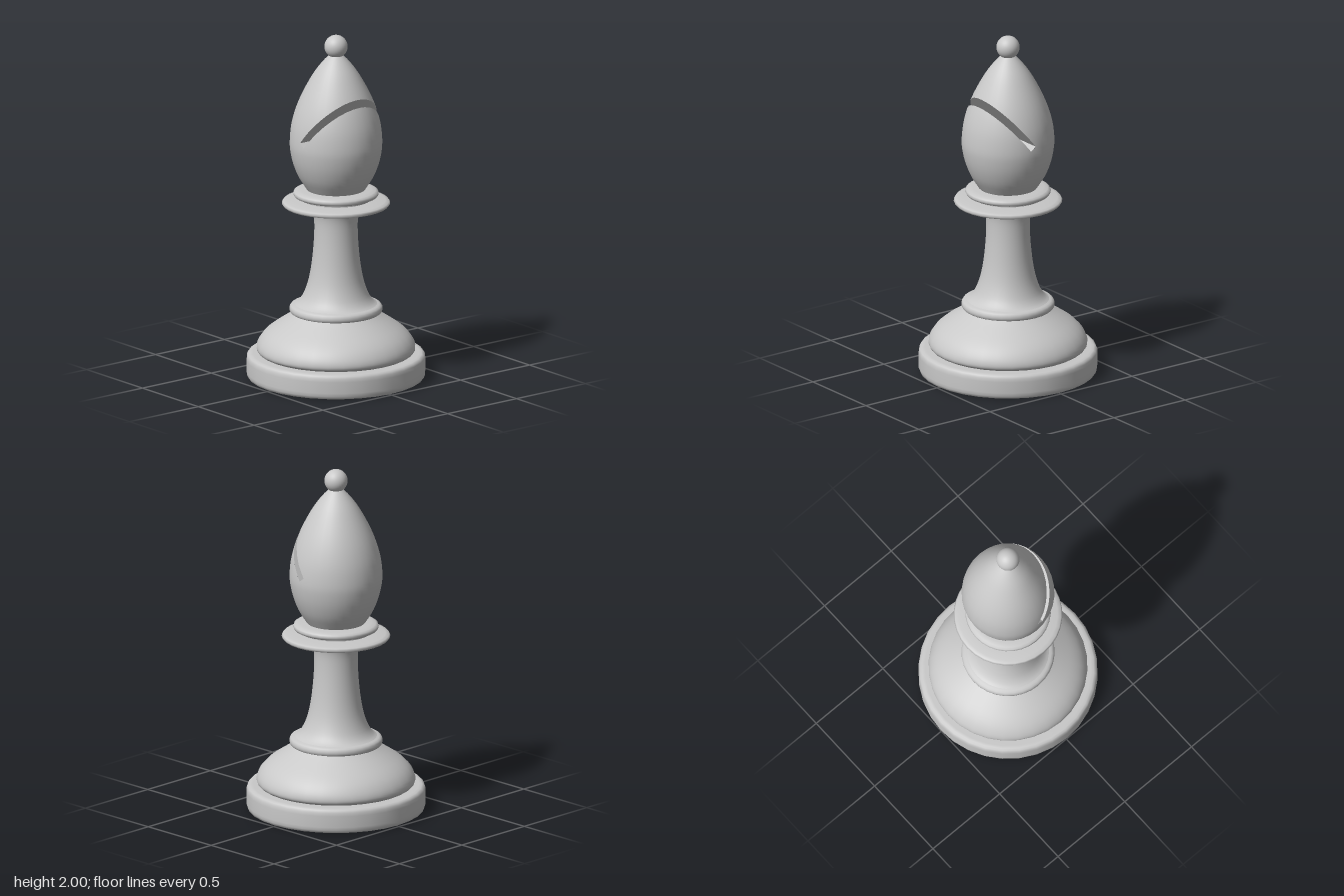
import * as THREE from 'three';

const SEGMENTS = 32;
const ivory = new THREE.MeshStandardMaterial({ color: 0xc8c8c8 });
ivory.name = 'plain grey';

const vectors = (pts) => pts.map(([x, y]) => new THREE.Vector2(x, y));
const smooth = (pts, n) => new THREE.SplineCurve(vectors(pts)).getPoints(n);

// Diagonal slot in the head: floor centre, direction outwards, and width
const SLOT = { x: 0.015, y: 1.4, dx: 0.611, dy: 0.792, half: 0.02 };
const along = (x, y) => (x - SLOT.x) * SLOT.dx + (y - SLOT.y) * SLOT.dy;
const across = (x, y) => -(x - SLOT.x) * SLOT.dy + (y - SLOT.y) * SLOT.dx;

// Keeps the part of a polygon where f >= 0; corners carry position and normal
function clip(poly, f) {
  const out = [];
  poly.forEach((a, i) => {
    const b = poly[(i + 1) % poly.length];
    const fa = f(a[0], a[1]), fb = f(b[0], b[1]);
    if (fa >= 0) out.push(a);
    if ((fa >= 0) !== (fb >= 0)) {
      const t = fa / (fa - fb);
      out.push(a.map((v, k) => v + (b[k] - v) * t));
    }
  });
  return out;
}

// Removes the slot from the turned head
function cutSlot(lathe) {
  const geo = lathe.toNonIndexed();
  const p = geo.attributes.position, n = geo.attributes.normal;
  const pos = [], nor = [];
  const emit = (poly) => {
    for (let i = 1; i + 1 < poly.length; i++) {
      for (const v of [poly[0], poly[i], poly[i + 1]]) {
        pos.push(v[0], v[1], v[2]);
        nor.push(v[3], v[4], v[5]);
      }
    }
  };
  for (let i = 0; i < p.count; i += 3) {
    const tri = [0, 1, 2].map((k) => [
      p.getX(i + k), p.getY(i + k), p.getZ(i + k),
      n.getX(i + k), n.getY(i + k), n.getZ(i + k)]);
    emit(clip(tri, (x, y) => -along(x, y)));
    const outer = clip(tri, along);
    emit(clip(outer, (x, y) => across(x, y) - SLOT.half));
    emit(clip(outer, (x, y) => -across(x, y) - SLOT.half));
  }
  const out = new THREE.BufferGeometry();
  out.setAttribute('position', new THREE.Float32BufferAttribute(pos, 3));
  out.setAttribute('normal', new THREE.Float32BufferAttribute(nor, 3));
  return out;
}

// Upper wall, floor and lower wall of the slot as one strip across the head
function slotWalls(profile) {
  const radius = (y) => {
    const i = Math.max(1, profile.findIndex((q) => q.y >= y));
    const a = profile[i - 1], b = profile[i];
    return a.x + (b.x - a.x) * (y - a.y) / (b.y - a.y);
  };
  const side = (k) => {
    const at = (s) => [
      SLOT.x + s * SLOT.dx - k * SLOT.dy,
      SLOT.y + s * SLOT.dy + k * SLOT.dx];
    let lo = 0, hi = 0.45;
    for (let i = 0; i < 30; i++) {
      const mid = (lo + hi) / 2, [x, y] = at(mid);
      if (x < radius(y)) lo = mid; else hi = mid;
    }
    return Array.from({ length: 25 }, (_, i) => at(lo * (1 - (1 - i / 24) ** 2)));
  };
  const path = [...side(SLOT.half).reverse(), ...side(-SLOT.half)];
  const depth = ([x, y]) => Math.sqrt(Math.max(0, (radius(y) * 0.998) ** 2 - x * x));
  const pos = [];
  for (let i = 0; i + 1 < path.length; i++) {
    const a = path[i], b = path[i + 1], za = depth(a), zb = depth(b);
    pos.push(...a, za, ...b, zb, ...b, -zb, ...a, za, ...b, -zb, ...a, -za);
  }
  const geo = new THREE.BufferGeometry();
  geo.setAttribute('position', new THREE.Float32BufferAttribute(pos, 3));
  geo.computeVertexNormals();
  return geo;
}

export function createModel() {
  const group = new THREE.Group();
  const add = (name, geo) => {
    const mesh = new THREE.Mesh(geo, ivory);
    mesh.name = name;
    group.add(mesh);
    return mesh;
  };
  const turn = (name, points) => add(name, new THREE.LatheGeometry(points, SEGMENTS));

  // Foot
  turn('footUnderside', vectors([[0, 0], [0.488, 0.003]]));
  turn('footRim', vectors([
    [0.488, 0.003], [0.498, 0.008], [0.504, 0.022], [0.506, 0.04], [0.506, 0.105],
    [0.504, 0.124], [0.498, 0.137], [0.486, 0.143], [0.47, 0.145], [0.4, 0.146]]));

  // Domed base
  turn('baseDome', smooth([
    [0.425, 0.145], [0.443, 0.157], [0.449, 0.178], [0.44, 0.21], [0.415, 0.248],
    [0.375, 0.285], [0.32, 0.323], [0.265, 0.358], [0.225, 0.385]], 24));

  // Ring above the base
  turn('baseRingUnderside', vectors([[0.2, 0.383], [0.255, 0.383]]));
  turn('baseRing', vectors([
    [0.255, 0.383], [0.261, 0.389], [0.263, 0.4], [0.262, 0.412],
    [0.256, 0.422], [0.245, 0.428], [0.225, 0.433]]));

  // Flared stem
  turn('stem', smooth([
    [0.236, 0.429], [0.212, 0.446], [0.185, 0.485], [0.158, 0.56], [0.139, 0.66],
    [0.127, 0.78], [0.123, 0.88], [0.126, 0.94], [0.136, 0.977], [0.156, 1.003]], 28));

  // Two collars under the head
  turn('lowerCollar', vectors([
    [0.12, 1.0], [0.2, 1.0], [0.275, 1.002], [0.298, 1.008], [0.307, 1.02],
    [0.3, 1.031], [0.28, 1.036], [0.24, 1.041], [0.18, 1.046]]));
  turn('collarNeck', vectors([[0.2, 1.035], [0.2, 1.065]]));
  turn('upperCollar', vectors([
    [0.18, 1.055], [0.222, 1.057], [0.236, 1.064], [0.242, 1.076],
    [0.238, 1.088], [0.225, 1.095], [0.2, 1.1], [0.12, 1.106]]));

  // Head with its diagonal slot
  const headProfile = smooth([
    [0.158, 1.09], [0.178, 1.12], [0.214, 1.18], [0.243, 1.255], [0.259, 1.33],
    [0.262, 1.39], [0.254, 1.47], [0.236, 1.545], [0.209, 1.62], [0.171, 1.7],
    [0.122, 1.785], [0.072, 1.85], [0.03, 1.893]], 40);
  add('head', cutSlot(new THREE.LatheGeometry(headProfile, SEGMENTS)));
  add('slotWalls', slotWalls(headProfile));

  // Ball on top
  add('finial', new THREE.SphereGeometry(0.066, SEGMENTS, 20)).position.y = 1.934;

  return group;
}
